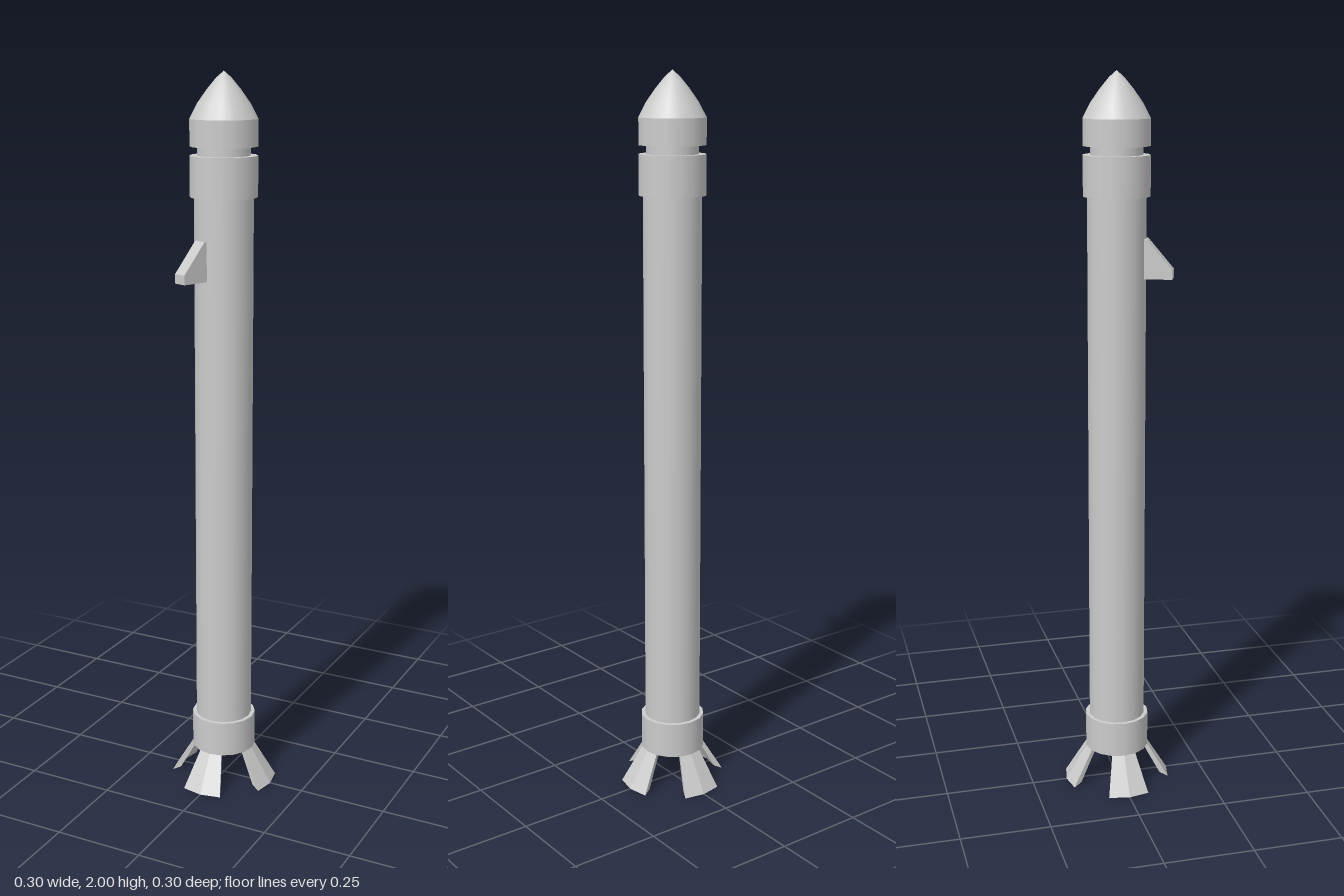
import * as THREE from 'three';

const SIDES = 16;
const STEP = Math.PI / 8;
const grey = new THREE.MeshStandardMaterial({ color: 0xcccccc });
const greyFlat = new THREE.MeshStandardMaterial({ color: 0xcccccc, flatShading: true });
const greyDouble = new THREE.MeshStandardMaterial({ color: 0xcccccc, side: THREE.DoubleSide });
const pale = new THREE.MeshStandardMaterial({ color: 0xf2f2f2 });

function add(group, name, geometry, material) {
  const mesh = new THREE.Mesh(geometry, material);
  mesh.name = name;
  group.add(mesh);
  return mesh;
}

// Straight cylindrical section between two heights
function section(group, name, radius, y0, y1, material = grey, open = false) {
  const geometry = new THREE.CylinderGeometry(radius, radius, y1 - y0, SIDES, 1, open);
  geometry.translate(0, (y0 + y1) / 2, 0);
  return add(group, name, geometry, material);
}

// Splayed foot: a four-cornered profile swept over two facets of the collar
function footGeometry() {
  const profile = [[0.151, 0], [0.09, 0.1], [0.076, 0.1], [0.127, 0.01]];
  const point = (i, k) => {
    const [r, y] = profile[i % 4];
    return [r * Math.sin(k * STEP), y, r * Math.cos(k * STEP)];
  };
  const positions = [];
  const quad = (a, b, c, d) => positions.push(...a, ...b, ...c, ...a, ...c, ...d);
  for (let k = -1; k < 1; k++) {
    for (let i = 0; i < 4; i++) {
      quad(point(i, k), point(i, k + 1), point(i + 1, k + 1), point(i + 1, k));
    }
  }
  quad(point(0, -1), point(1, -1), point(2, -1), point(3, -1));
  quad(point(3, 1), point(2, 1), point(1, 1), point(0, 1));
  const geometry = new THREE.BufferGeometry();
  geometry.setAttribute('position', new THREE.Float32BufferAttribute(positions, 3));
  geometry.computeVertexNormals();
  return geometry;
}

export function createModel() {
  const group = new THREE.Group();

  // Main tube in three bands
  section(group, 'lowerBand', 0.079, 0.19, 0.26);
  section(group, 'middleBand', 0.079, 0.26, 0.94, pale);
  section(group, 'upperBand', 0.079, 0.94, 1.69);

  // Hollow base collar with top and bottom rims
  section(group, 'baseCollar', 0.09, 0.1, 0.2, grey, true);
  section(group, 'baseCollarInside', 0.074, 0.1, 0.2, greyDouble, true);
  for (const [name, y, tilt] of [['baseRimTop', 0.2, -1], ['baseRimBottom', 0.1, 1]]) {
    const rim = new THREE.RingGeometry(0.074, 0.09, SIDES);
    rim.rotateX(tilt * Math.PI / 2).translate(0, y, 0);
    add(group, name, rim, grey);
  }

  // Four feet
  const foot = footGeometry();
  for (let i = 0; i < 4; i++) {
    add(group, 'foot', foot, greyFlat).rotation.y = i * Math.PI / 2;
  }

  // Top collar, neck and nose
  section(group, 'topCollar', 0.09, 1.68, 1.787);
  section(group, 'neck', 0.07, 1.78, 1.815);
  section(group, 'noseBase', 0.09, 1.81, 1.88);
  const ogive = [[0.09, 1.88], [0.07, 1.918], [0.045, 1.953], [0.02, 1.983], [0, 2]];
  add(group, 'noseCone', new THREE.LatheGeometry(
    ogive.map(([r, y]) => new THREE.Vector2(r, y)), SIDES), grey);

  // Single wedge fin on the front, turned one facet to the right
  const outline = new THREE.Shape([[0.07, 1.465], [0.151, 1.465], [0.151, 1.49], [0.083, 1.57], [0.07, 1.57]]
    .map(([r, y]) => new THREE.Vector2(r, y)));
  const fin = new THREE.ExtrudeGeometry(outline, { depth: 0.038, bevelEnabled: false });
  fin.translate(0, 0, -0.019).rotateY(-Math.PI / 2 - STEP);
  add(group, 'wedgeFin', fin, greyFlat);

  return group;
}
